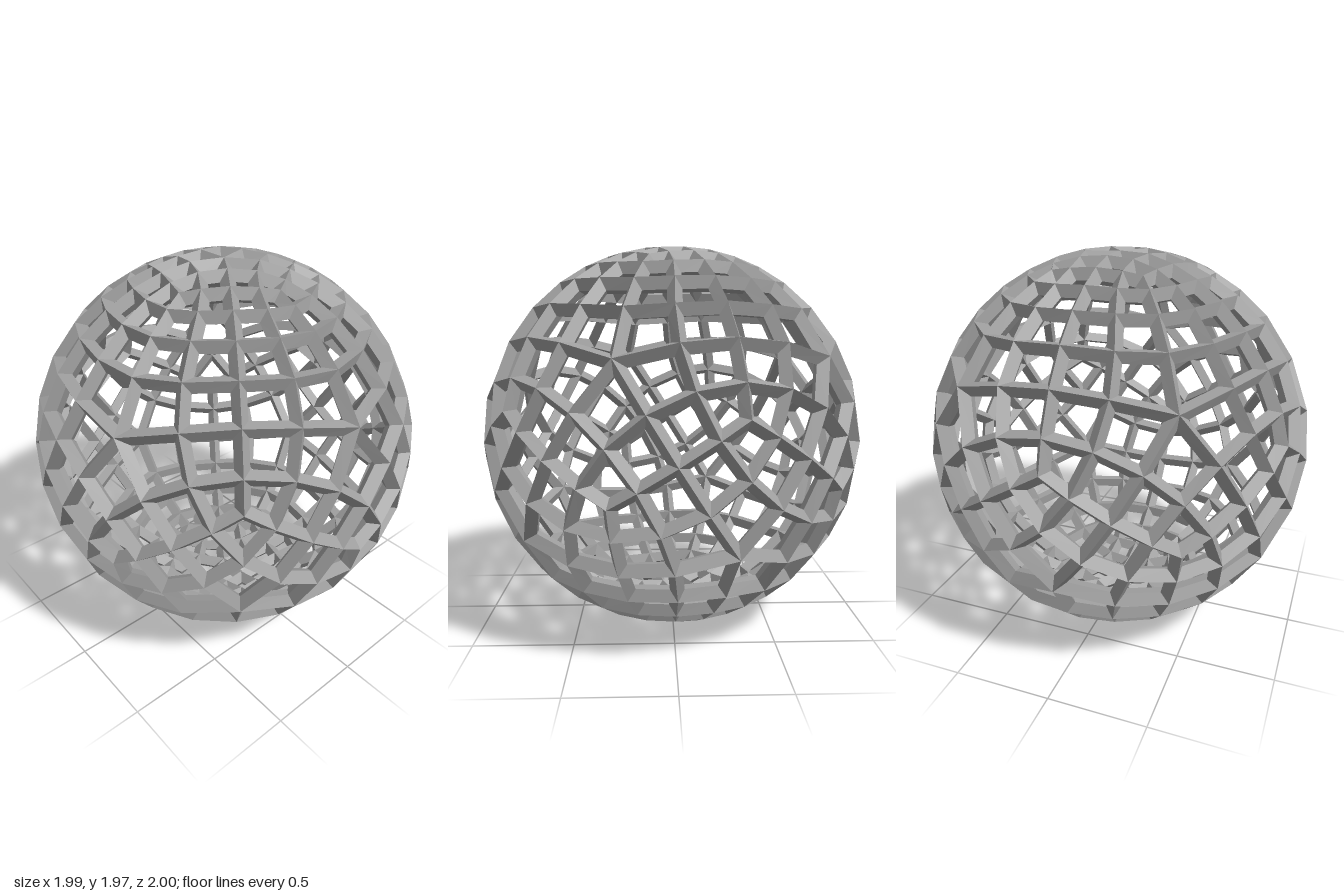
import * as THREE from 'three';

const STRUT_HALF_WIDTH = 0.04, STRUT_DEPTH = 0.045, BACK_RADIUS = 0.91, POLE_RADIUS = 0.983;

// Base solid: two five-sided caps, a belt of four-sided faces below each, triangles round the middle
function baseSolid() {
  const ring = (elevation, offset) => Array.from({ length: 5 }, (_, k) => {
    const a = (k + offset) * Math.PI * 0.4, e = THREE.MathUtils.degToRad(elevation);
    return new THREE.Vector3(Math.cos(e) * Math.cos(a), Math.sin(e), Math.cos(e) * Math.sin(a));
  });
  const points = [...ring(67, 0), ...ring(26.57, 0), ...ring(-26.57, 0.5), ...ring(-67, 0.5)];
  const faces = [[4, 3, 2, 1, 0], [15, 16, 17, 18, 19]];
  for (let k = 0; k < 5; k++) {
    const n = (k + 1) % 5, u = 5 + k, un = 5 + n, l = 10 + k, ln = 10 + n;
    faces.push([k, n, un, u], [u, un, l], [l, un, ln], [l, ln, 15 + n, 15 + k]);
  }
  return { points, faces };
}

const average = (list) => list.reduce((s, p) => s.add(p), new THREE.Vector3()).divideScalar(list.length);

// One smoothing subdivision into quads
function subdivide({ points, faces }) {
  const centres = faces.map((f) => average(f.map((i) => points[i])));
  const edges = new Map();
  const around = points.map(() => ({ centres: [], mids: [] }));
  const key = (a, b) => Math.min(a, b) + '_' + Math.max(a, b);
  faces.forEach((f, fi) => f.forEach((a, i) => {
    const b = f[(i + 1) % f.length];
    around[a].centres.push(centres[fi]);
    around[a].mids.push(average([points[a], points[b]]));
    if (!edges.has(key(a, b))) edges.set(key(a, b), { ends: [points[a], points[b]], centres: [] });
    edges.get(key(a, b)).centres.push(centres[fi]);
  }));
  const out = points.map((p, i) => {
    const n = around[i].centres.length;
    return average(around[i].centres).addScaledVector(average(around[i].mids), 2)
      .addScaledVector(p, n - 3).divideScalar(n);
  });
  for (const e of edges.values()) {
    e.index = out.length;
    out.push(average([...e.ends, ...e.centres]));
  }
  const quads = [];
  faces.forEach((f, fi) => {
    const c = out.push(centres[fi]) - 1, n = f.length;
    f.forEach((a, i) => quads.push([
      a, edges.get(key(a, f[(i + 1) % n])).index, c, edges.get(key(f[(i + n - 1) % n], a)).index,
    ]));
  });
  return { points: out, faces: quads };
}

// Ridged frame round each opening: outer flanks slope to the hole, inner flanks to a back ridge
function latticeGeometry({ points, faces }) {
  const pos = [];
  const quad = (a, b, c, d) => [a, b, c, a, c, d].forEach((p) => pos.push(p.x, p.y, p.z));
  for (const f of faces) {
    const p = f.map((i) => points[i]);
    const normal = new THREE.Vector3().crossVectors(p[2].clone().sub(p[0]), p[3].clone().sub(p[1])).normalize();
    const hole = p.map((v, i) => {
      const d1 = p[(i + 1) % 4].clone().sub(v).normalize();
      const d2 = p[(i + 3) % 4].clone().sub(v).normalize();
      const mitre = STRUT_HALF_WIDTH / Math.sin(d1.angleTo(d2));
      return v.clone().addScaledVector(d1.add(d2), mitre).addScaledVector(normal, -STRUT_DEPTH);
    });
    const back = p.map((v) => v.clone().multiplyScalar(BACK_RADIUS));
    for (let i = 0; i < 4; i++) {
      const j = (i + 1) % 4;
      quad(p[i], p[j], hole[j], hole[i]);
      quad(back[j], back[i], hole[i], hole[j]);
    }
  }
  const geometry = new THREE.BufferGeometry();
  geometry.setAttribute('position', new THREE.Float32BufferAttribute(pos, 3));
  geometry.computeVertexNormals();
  return geometry;
}

export function createModel() {
  const cage = subdivide(subdivide(baseSolid()));
  // Round the cage; the two poles sit slightly lower
  for (const p of cage.points) {
    p.normalize();
    if (Math.abs(p.y) > 0.999) p.setLength(POLE_RADIUS);
    p.y = THREE.MathUtils.clamp(p.y, -POLE_RADIUS, POLE_RADIUS);
  }

  const lattice = new THREE.Mesh(
    latticeGeometry(cage),
    new THREE.MeshStandardMaterial({ color: 0xa0a0a0, flatShading: true, side: THREE.DoubleSide }),
  );
  lattice.name = 'latticeSphere';
  lattice.position.y = POLE_RADIUS;

  const model = new THREE.Group();
  model.name = 'openLatticeBall';
  model.add(lattice);
  return model;
}
